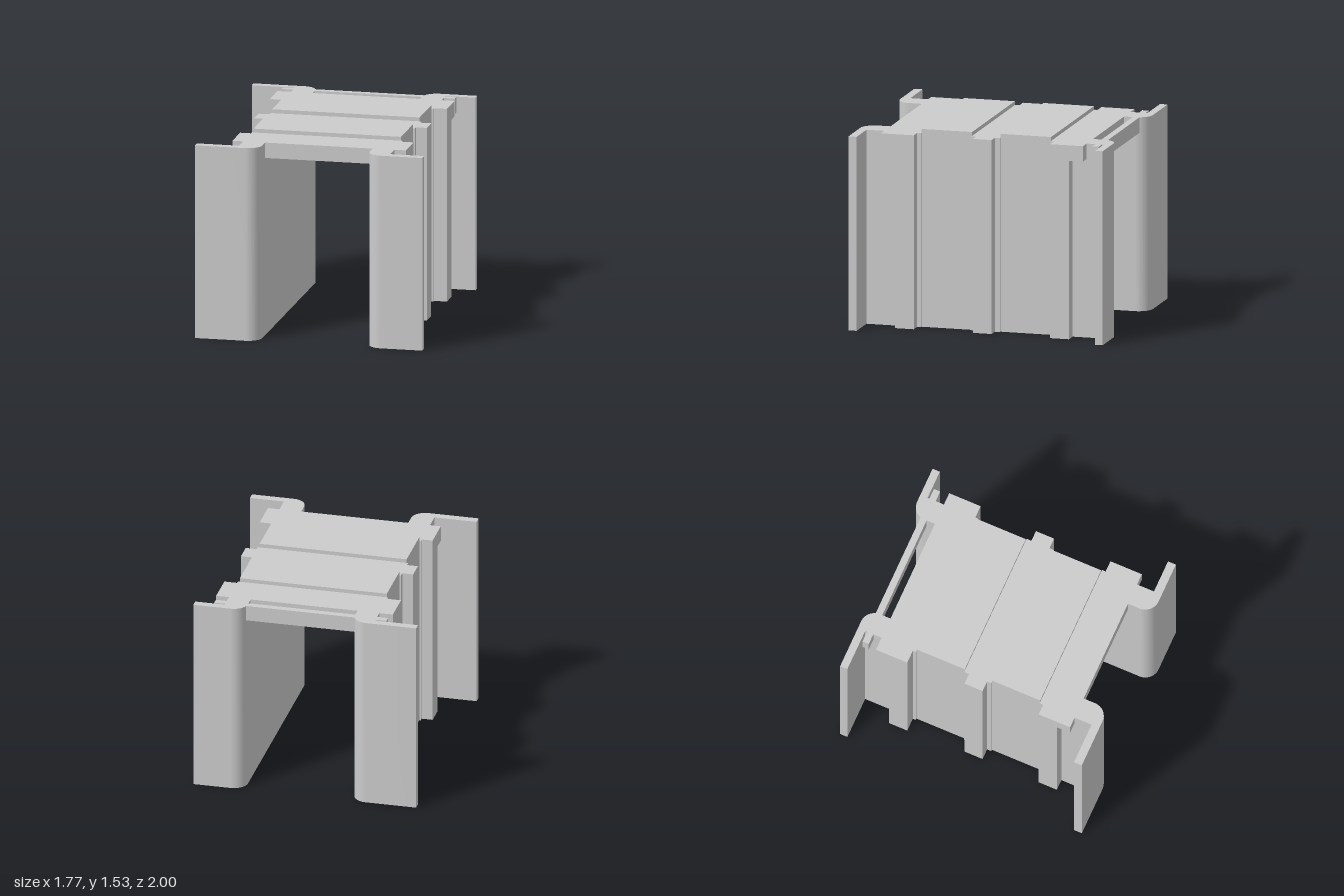
import * as THREE from 'three';
import { toCreasedNormals } from 'three/addons/utils/BufferGeometryUtils.js';

const WALL_TOP = 1.505, DECK_BOTTOM = 1.385, PAD_TOP = 1.535;

export function createModel() {
  const group = new THREE.Group();
  const material = new THREE.MeshStandardMaterial({ color: 0xcccccc });

  function add(name, geometry) {
    const mesh = new THREE.Mesh(geometry, material);
    mesh.name = name;
    group.add(mesh);
  }
  function box(name, x0, x1, y0, y1, z0, z1) {
    const g = new THREE.BoxGeometry(x1 - x0, y1 - y0, z1 - z0);
    g.translate((x0 + x1) / 2, (y0 + y1) / 2, (z0 + z1) / 2);
    add(name, g);
  }

  // Plan outline of one ribbed side wall: rounded inner corners, then the
  // outer side stepped as [x, z] from the front flange to the back one
  function wall(name, inner, side, outer) {
    const r = 0.11, s = new THREE.Shape();
    const edge = inner + side * r;
    s.moveTo(edge, 1);
    s.absarc(edge, 1 - r, r, Math.PI / 2, side > 0 ? Math.PI : 0, side < 0);
    s.lineTo(inner, -1 + r);
    s.absarc(edge, -1 + r, r, side > 0 ? Math.PI : 0, -Math.PI / 2, side < 0);
    for (const [x, z] of [...outer].reverse()) s.lineTo(x, z);
    s.closePath();
    const g = new THREE.ExtrudeGeometry(s, { depth: WALL_TOP, bevelEnabled: false, curveSegments: 12 });
    // shape y carries +z, so turn it down and slide the wall above the ground
    g.rotateX(Math.PI / 2);
    g.translate(0, WALL_TOP, 0);
    add(name, toCreasedNormals(g, 0.5));
  }

  // Outer profile: flange, web, front rib, recess, middle rib, recess, back rib, flange
  function profile({ front, back, web, recess, ribs }) {
    const pts = [[front, 1], [front, 0.935], [web, 0.935]];
    const spans = [[0.535, 0.685], [-0.08, 0.07], [-0.695, -0.545]];
    const recesses = [[0.105, 0.505], [-0.52, -0.12]];
    spans.forEach(([z0, z1], i) => {
      pts.push([web, z1], [ribs[i], z1], [ribs[i], z0], [web, z0]);
      if (i < 2) {
        const [a, b] = recesses[i];
        pts.push([web, b], [recess, b], [recess, a], [web, a]);
      }
    });
    pts.push([web, -0.94], [back, -0.94], [back, -1]);
    return pts;
  }

  wall('leftWall', 0.45, 1, profile({
    front: 0.885, back: 0.85, web: 0.62, recess: 0.605, ribs: [0.71, 0.705, 0.72] }));
  wall('rightWall', -0.385, -1, profile({
    front: -0.885, back: -0.89, web: -0.555, recess: -0.543, ribs: [-0.64, -0.64, -0.66] }));

  // Deck joining the walls, with wider end lugs
  box('deck', -0.4, 0.47, DECK_BOTTOM, WALL_TOP, -0.69, 0.68);
  box('frontCrossbar', -0.64, 0.71, DECK_BOTTOM, WALL_TOP, 0.68, 0.795);
  box('backCrossbar', -0.66, 0.72, DECK_BOTTOM, WALL_TOP, -0.805, -0.69);

  // Thin rail behind the slot
  box('backRail', -0.64, 0.705, DECK_BOTTOM, WALL_TOP, -0.925, -0.873);

  // Raised pads flush with the wall recesses
  for (const [name, z0, z1] of [['frontPad', 0.105, 0.505], ['backPad', -0.52, -0.12]])
    box(name, -0.543, 0.605, WALL_TOP - 0.02, PAD_TOP, z0, z1);

  return group;
}
